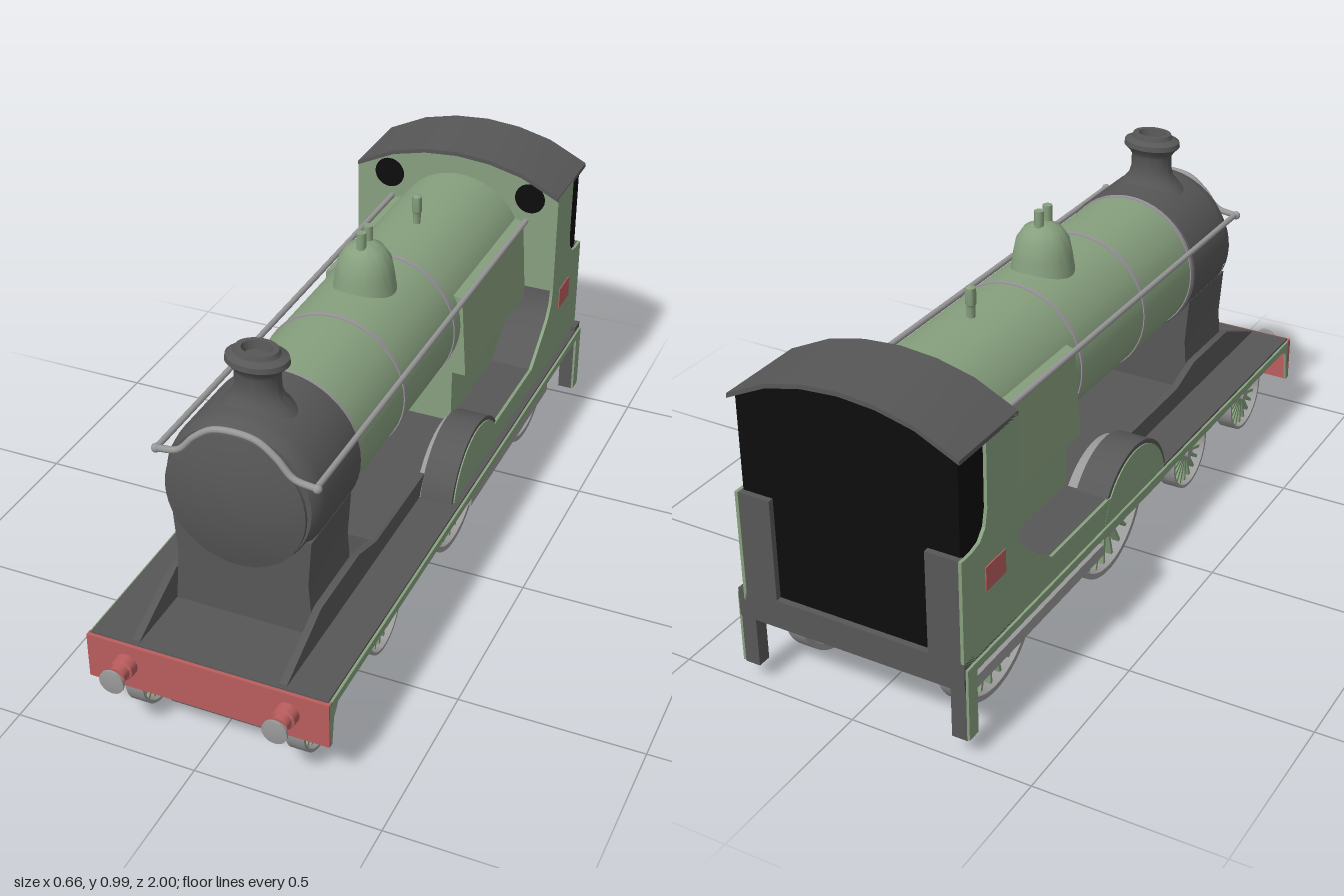
import * as THREE from 'three';
import { mergeGeometries, toCreasedNormals } from 'three/addons/utils/BufferGeometryUtils.js';

const mat = (name, color) => {
  const m = new THREE.MeshStandardMaterial({ color });
  m.name = name;
  return m;
};

export function createModel() {
  const green = mat('green paint', 0x87a07e);
  const dark = mat('dark grey', 0x575757);
  const red = mat('red paint', 0xba5d5d);
  const metal = mat('bare metal', 0x999999);
  const bandMat = mat('boiler band', 0x9a949c);
  const black = mat('black', 0x0d0d0d);
  const model = new THREE.Group();
  model.name = 'steamLocomotive';

  const add = (name, geo, material, parent = model) => {
    const mesh = new THREE.Mesh(geo, material);
    mesh.name = name;
    parent.add(mesh);
    return mesh;
  };
  // Box given by its limits
  const box = (x0, x1, y0, y1, z0, z1) =>
    new THREE.BoxGeometry(x1 - x0, y1 - y0, z1 - z0).translate((x0 + x1) / 2, (y0 + y1) / 2, (z0 + z1) / 2);
  const shapeOf = (pts) => new THREE.Shape(pts.map((p) => new THREE.Vector2(p[0], p[1])));
  const extrude = (shape, depth) =>
    toCreasedNormals(new THREE.ExtrudeGeometry(shape, { depth, bevelEnabled: false, curveSegments: 32 }), 0.5);
  // Outline in (z, y), extruded across x
  const side = (shape, x0, x1) => extrude(shape, x1 - x0).rotateY(-Math.PI / 2).translate(x1, 0, 0);
  // Outline in (x, y), extruded along z
  const cross = (shape, z0, z1) => extrude(shape, z1 - z0).translate(0, 0, z0);
  const lathe = (pts, seg = 48) =>
    toCreasedNormals(new THREE.LatheGeometry(pts.map((p) => new THREE.Vector2(p[0], p[1])), seg), 0.6);
  const zLathe = (pts, y, seg) => lathe(pts, seg).rotateX(Math.PI / 2).translate(0, y, 0);
  const sides = [['right', -1], ['left', 1]];
  // Limits mirrored to one side
  const span = (s, a, b) => (s > 0 ? [a, b] : [-b, -a]);

  // Footplate, underframe and raised platform
  add('footplate', box(-0.322, 0.322, 0.235, 0.268, -0.99, 0.91), dark);
  add('underframe', box(-0.19, 0.19, 0.17, 0.24, -0.93, 0.22), dark);
  add('platform', box(-0.2, 0.2, 0.26, 0.325, -0.3, 0.36), dark);
  add('rearBeam', box(-0.322, 0.322, 0.2, 0.28, -0.995, -0.95), dark);
  add('frontBeam', box(-0.329, 0.329, 0.133, 0.264, 0.903, 0.92), red);

  const valance = shapeOf([[-0.99, 0.06], [-0.95, 0.06], [-0.95, 0.24], [0.865, 0.24], [0.89, 0.225],
    [0.903, 0.135], [0.915, 0.135], [0.915, 0.262], [-0.99, 0.262]]);
  const framePlate = shapeOf([[0, 0.26], [0.9, 0.26], [0.9, 0.27], [0.7, 0.358], [0.47, 0.36], [0.36, 0.325], [0, 0.325]]);
  for (const [n, s] of sides) {
    add(n + 'Valance', side(valance, ...span(s, 0.322, 0.329)), green);
    add(n + 'RearStep', box(...span(s, 0.28, 0.322), 0.057, 0.24, -0.99, -0.952), dark);
    add(n + 'FramePlate', side(framePlate, ...span(s, 0.19, 0.21)), dark);
    // Bumpers
    const bumper = new THREE.Group();
    bumper.name = n + 'Bumper';
    bumper.position.set(0.22 * s, 0.205, 0);
    model.add(bumper);
    add('bumperHousing', zLathe([[0.032, 0.91], [0.03, 0.945], [0.024, 0.948], [0.024, 0.972], [0, 0.972]], 0, 24), red, bumper);
    add('bumperHead', zLathe([[0.01, 0.97], [0.01, 0.985], [0.034, 0.988], [0.034, 0.995], [0, 1]], 0, 24), metal, bumper);
  }

  // Boiler, bands and smokebox
  const axisY = 0.64;
  add('boiler', zLathe([[0.2, -0.745], [0.2, 0.46]], axisY), green);
  for (const z of [0.448, 0.155, -0.2])
    add('boilerBand', zLathe([[0.199, z - 0.006], [0.203, z - 0.006], [0.203, z + 0.006], [0.199, z + 0.006]], axisY), bandMat);
  add('smokebox', zLathe([[0.195, 0.452], [0.208, 0.456], [0.208, 0.66], [0.204, 0.69], [0.192, 0.71], [0, 0.71]], axisY), dark);
  add('smokeboxDoor', zLathe([[0.19, 0.7], [0.188, 0.718], [0.172, 0.722], [0.13, 0.733], [0.07, 0.742], [0, 0.746]], 0.625), dark)
    .position.x = -0.008;
  add('saddle', cross(shapeOf([[-0.19, 0.26], [0.19, 0.26], [0.178, 0.42], [0.188, 0.55], [-0.188, 0.55], [-0.178, 0.42]]),
    0.47, 0.705), dark);

  // Firebox with overhanging side panels
  add('firebox', cross(shapeOf([[-0.18, 0.26], [0.18, 0.26], [0.18, 0.485], [0.219, 0.485], [0.203, 0.725], [0.165, 0.735],
    [-0.165, 0.735], [-0.203, 0.725], [-0.219, 0.485], [-0.18, 0.485]]), -0.745, -0.245), green);

  // Oval chimney, dome, safety valves and whistle
  add('chimney', lathe([[0.105, 0.815], [0.085, 0.842], [0.067, 0.862], [0.06, 0.885], [0.059, 0.925], [0.066, 0.937],
    [0.082, 0.953], [0.08, 0.967], [0.06, 0.976], [0.055, 0.988], [0.04, 0.988], [0.035, 0.965], [0, 0.965]])
    .scale(1, 1, 0.78).translate(0, 0, 0.588), dark);
  add('dome', lathe([[0.088, 0.8], [0.084, 0.83], [0.078, 0.87], [0.07, 0.91], [0.05, 0.94], [0.025, 0.953], [0, 0.956]])
    .translate(0, 0, -0.048), green);
  for (const z of [-0.023, -0.067])
    add('safetyValve', new THREE.CylinderGeometry(0.013, 0.013, 0.065, 10).translate(0, 0.962, z), green);
  add('whistle', lathe([[0.011, 0.82], [0.011, 0.87], [0.014, 0.875], [0.014, 0.92], [0, 0.926]], 12).translate(0, 0, -0.41), green);

  // Handrail along both sides and over the smokebox
  const half = [[0.213, 0.728], [0.153, 0.739], [0.108, 0.786], [0.06, 0.82]];
  const arch = [...half.map(([x, y]) => [-x, y]), [0, 0.829], ...half.slice().reverse()];
  const archCurve = new THREE.CatmullRomCurve3(arch.map(([x, y]) => new THREE.Vector3(x, y, 0.72)));
  add('frontHandrail', new THREE.TubeGeometry(archCurve, 48, 0.009, 8), metal);
  for (const [n, s] of sides) {
    add(n + 'Handrail', new THREE.CylinderGeometry(0.008, 0.008, 1.465, 8).rotateX(Math.PI / 2)
      .translate(0.211 * s, 0.73, -0.0125), metal);
    add(n + 'HandrailKnob', new THREE.SphereGeometry(0.012, 12, 8).translate(0.213 * s, 0.728, 0.72), metal);
  }

  // Cab and splashers
  const cab = new THREE.Group();
  cab.name = 'cab';
  cab.position.x = -0.008;
  model.add(cab);
  const roofLine = [[0.314, 0.823], [0.2, 0.878], [0.1, 0.902], [0, 0.91], [-0.1, 0.902], [-0.2, 0.878], [-0.314, 0.823]];
  const inset = (d, w) => roofLine.map(([x, y]) => [x * w, y - d]);
  add('cabFront', cross(shapeOf([[-0.314, 0.27], [0.314, 0.27], ...inset(0.004, 1)]), -0.752, -0.742), green, cab);
  add('cabInterior', cross(shapeOf([[-0.3, 0.268], [0.3, 0.268], ...inset(0.01, 0.955)]), -0.978, -0.752), black, cab);
  add('cabRoof', cross(shapeOf([...roofLine, ...inset(0.012, 1).reverse()]), -0.993, -0.737), dark, cab);

  const sweep = [[-0.27, 0.25], [-0.27, 0.335], [-0.58, 0.335], [-0.62, 0.365], [-0.66, 0.395], [-0.71, 0.435],
    [-0.735, 0.475], [-0.742, 0.515]];
  const cabSide = shapeOf([...sweep, [-0.742, 0.82], [-0.88, 0.82], [-0.88, 0.64], [-0.89, 0.595], [-0.915, 0.568],
    [-0.95, 0.56], [-0.995, 0.56], [-0.995, 0.25]]);
  const rearSplasher = shapeOf([...sweep, [-0.75, 0.515], [-0.75, 0.25]]);
  const halfDisc = (r) => new THREE.Shape().absarc(-0.125, 0.225, r, 0, Math.PI);
  for (const [n, s] of sides) {
    add(n + 'CabSide', side(cabSide, ...span(s, 0.305, 0.314)), green, cab);
    add(n + 'RearSplasher', side(rearSplasher, ...span(s, 0.18, 0.305)), dark, cab);
    add(n + 'FrontSplasher', side(halfDisc(0.19), ...span(s, 0.22, 0.311)), dark, cab);
    add(n + 'SplasherFace', side(halfDisc(0.178), ...span(s, 0.309, 0.3145)), green, cab);
    add(n + 'CabBackPanel', box(...span(s, 0.215, 0.305), 0.25, 0.56, -0.994, -0.975), dark, cab);
    add(n + 'SidePlate', box(...span(s, 0.312, 0.317), 0.425, 0.49, -0.895, -0.805), red, cab);
    add(n + 'CabWindow', new THREE.CylinderGeometry(0.045, 0.045, 0.006, 32).rotateX(Math.PI / 2)
      .translate(0.22 * s + 0.008, 0.804, -0.741), black, cab);
  }

  // Spoked wheels
  const makeWheels = (name, r, spokes, z) => {
    const rim = new THREE.Shape().absarc(0, 0, r, 0, Math.PI * 2);
    rim.holes.push(new THREE.Path().absarc(0, 0, r * 0.92, 0, Math.PI * 2, true));
    const rimGeo = side(rim, -0.025, 0.025);
    const hubGeo = new THREE.CylinderGeometry(r * 0.16, r * 0.16, 0.05, 20).rotateZ(Math.PI / 2);
    const spokeGeo = mergeGeometries(Array.from({ length: spokes }, (_, i) =>
      new THREE.BoxGeometry(0.022, r * 0.84, 0.009).translate(0, r * 0.52, 0).rotateX((i / spokes) * Math.PI * 2)));
    for (const [n, s] of sides) {
      const wheel = new THREE.Group();
      wheel.name = n + name;
      wheel.position.set(0.222 * s, r + 0.003, z);
      model.add(wheel);
      add('rim', rimGeo, metal, wheel);
      add('hub', hubGeo, metal, wheel);
      add('spokes', spokeGeo, green, wheel);
    }
    add('axle', new THREE.CylinderGeometry(0.013, 0.013, 0.42, 12).rotateZ(Math.PI / 2).translate(0, r + 0.003, z), metal);
  };
  makeWheels('FrontBogieWheel', 0.108, 20, 0.783);
  makeWheels('RearBogieWheel', 0.108, 20, 0.387);
  makeWheels('FrontDrivingWheel', 0.197, 24, -0.125);
  makeWheels('RearDrivingWheel', 0.197, 24, -0.73);

  // Coupling rods
  add('leftCouplingRod', box(0.248, 0.268, 0.083, 0.123, -0.87, -0.2), metal);
  add('rightCouplingRod', box(-0.268, -0.248, 0.1, 0.135, -0.89, -0.2), metal);

  // Bogie frame
  add('bogiePlate', box(-0.13, 0.13, 0.078, 0.12, 0.3, 0.87), dark);
  add('bogieCentre', box(-0.19, 0.19, 0.08, 0.24, 0.52, 0.65), dark);
  add('bogieMount', box(-0.19, 0.19, 0.18, 0.24, 0.47, 0.69), dark);
  return model;
}
